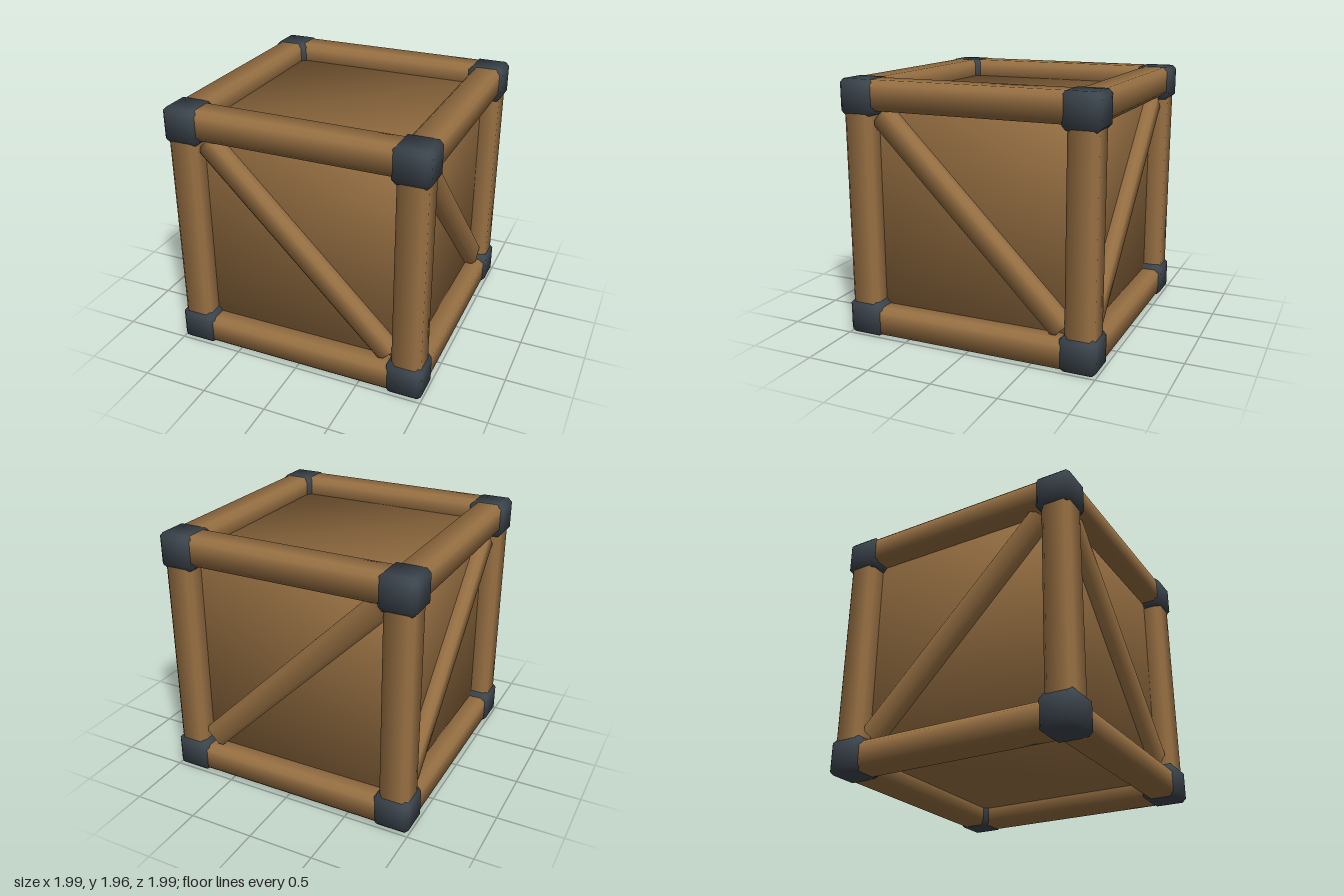
import * as THREE from 'three';
import { ConvexGeometry } from 'three/addons/geometries/ConvexGeometry.js';

const MID = 0.98;      // height of the crate's centre
const RAIL = 0.865;    // rail centre line, measured from the crate's centre
const SIGNS = [-1, 1];

// Box with chamfered edges and soft normals fanning out from its centre (or from its y axis)
function chamferBox(w, h, d, c, alongY = false) {
  const half = [w / 2, h / 2, d / 2];
  const points = [];
  for (let face = 0; face < 3; face++)
    for (const x of SIGNS) for (const y of SIGNS) for (const z of SIGNS) {
      const p = [x, y, z].map((s, i) => s * (half[i] - (i === face ? 0 : c)));
      points.push(new THREE.Vector3(...p));
    }
  const geometry = new ConvexGeometry(points);
  const { position, normal } = geometry.attributes;
  const n = new THREE.Vector3();
  for (let i = 0; i < position.count; i++) {
    n.fromBufferAttribute(position, i);
    if (alongY) n.y = 0;
    n.normalize();
    normal.setXYZ(i, n.x, n.y, n.z);
  }
  return geometry;
}

// Plain box whose eight corners share soft normals
function softBox(size) {
  const geometry = new THREE.BoxGeometry(size, size, size);
  const { position, normal } = geometry.attributes;
  const n = new THREE.Vector3();
  for (let i = 0; i < position.count; i++) {
    n.fromBufferAttribute(position, i).normalize();
    normal.setXYZ(i, n.x, n.y, n.z);
  }
  return geometry;
}

export function createModel() {
  const wood = new THREE.MeshStandardMaterial({ color: 0x966f42 });
  wood.name = 'wood';
  const iron = new THREE.MeshStandardMaterial({ color: 0x3b444c });
  iron.name = 'dark iron';

  const crate = new THREE.Group();
  crate.name = 'crate';

  const add = (name, geometry, material, x, y, z) => {
    const mesh = new THREE.Mesh(geometry, material);
    mesh.name = name;
    mesh.position.set(x, MID + y, z);
    crate.add(mesh);
    return mesh;
  };

  // Recessed panels
  add('panels', softBox(1.68), wood, 0, 0, 0);

  // Twelve edge rails
  const rail = chamferBox(0.225, 1.6, 0.225, 0.033, true);
  for (const a of SIGNS) for (const b of SIGNS) {
    add('uprightRail', rail, wood, a * RAIL, 0, b * RAIL);
    add('crossRail', rail, wood, 0, a * RAIL, b * RAIL).rotation.z = Math.PI / 2;
    add('sideRail', rail, wood, a * RAIL, b * RAIL, 0).rotation.x = Math.PI / 2;
  }

  // Diagonal braces on the four upright faces
  const brace = chamferBox(0.19, 2.02, 0.19, 0.03, true);
  for (const s of SIGNS) {
    add('crossBrace', brace, wood, 0, 0.01, s * 0.835).rotation.z = Math.PI / 4;
    add('sideBrace', brace, wood, s * 0.835, 0.01, 0).rotation.x = Math.PI / 4;
  }

  // Corner caps
  const cap = chamferBox(0.275, 0.265, 0.275, 0.03);
  for (const x of SIGNS) for (const y of SIGNS) for (const z of SIGNS)
    add('cornerCap', cap, iron, x * 0.8575, y * 0.8475, z * 0.8575);

  return crate;
}
